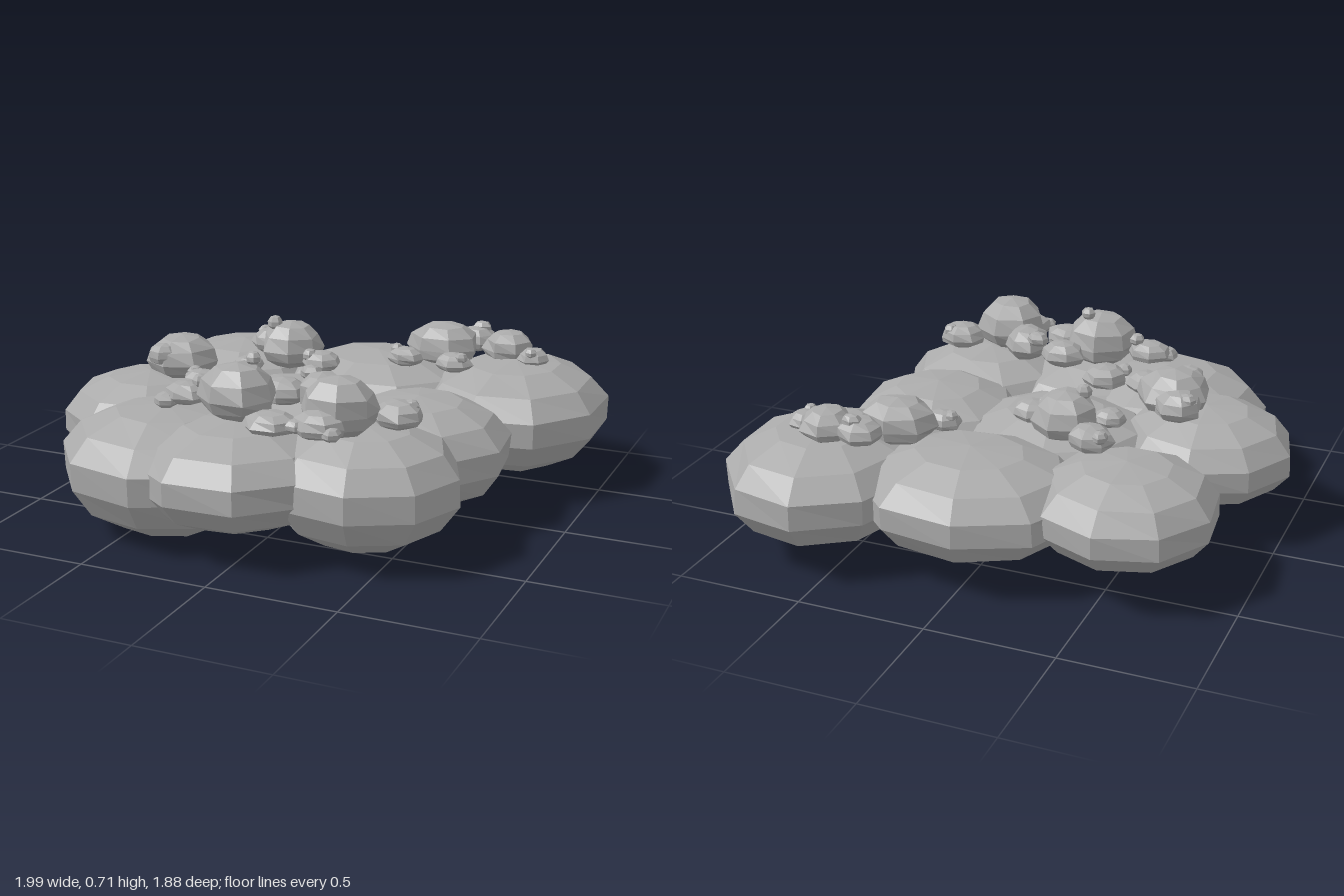
import * as THREE from 'three';

// repeatable value in -1..1 from a point and a seed
function hash(x, y, z, seed) {
  const q = (v) => Math.round(v * 100);
  const s = Math.sin(q(x) * 12.9898 + q(y) * 78.233 + q(z) * 37.719 + seed * 4.137) * 43758.5453;
  return 2 * (s - Math.floor(s)) - 1;
}

// faceted ellipsoid; up and down are its heights above and below the rim,
// spin is the angle of one rim corner in degrees
function lump(rx, up, down, rz, spin, sides, rows, seed, jitter) {
  const geo = new THREE.SphereGeometry(1, sides, rows);
  geo.rotateY(Math.PI - THREE.MathUtils.degToRad(spin));
  const p = geo.attributes.position;
  for (let i = 0; i < p.count; i++) {
    const x = p.getX(i), y = p.getY(i), z = p.getZ(i);
    const flat = Math.hypot(x, z);
    const k = flat > 1e-4 ? (Math.pow(flat, 0.9) / flat) * (1.045 + jitter * hash(x, y, z, seed)) : 1;
    const h = flat > 1e-4 ? 1 + 0.5 * jitter * hash(z, x, y, seed) : 1;
    p.setXYZ(i, x * k * rx, y * h * (y > 0 ? up : down), z * k * rz);
  }
  const faceted = geo.toNonIndexed();
  faceted.computeVertexNormals();
  return faceted;
}

export function createModel() {
  const group = new THREE.Group();
  const grey = new THREE.MeshStandardMaterial({ color: 0xaaaaaa });
  grey.name = 'cloud grey';

  function add(name, geo, x, y, z) {
    const mesh = new THREE.Mesh(geo, grey);
    mesh.name = name;
    mesh.position.set(x, y, z);
    group.add(mesh);
  }

  // broad billows: name, x, y, z, rx, up, down, rz, spin
  const billows = [
    ['backRightBillow', -0.54, 0.30, -0.41, 0.34, 0.19, 0.185, 0.335, -88],
    ['backMiddleBillow', 0.04, 0.29, -0.49, 0.43, 0.195, 0.21, 0.35, -100],
    ['backLeftBillow', 0.62, 0.30, -0.535, 0.37, 0.20, 0.24, 0.405, -20],
    ['centreBillow', -0.10, 0.28, 0.02, 0.40, 0.185, 0.20, 0.36, 20],
    ['leftBillow', 0.42, 0.28, 0.045, 0.35, 0.20, 0.22, 0.34, 13],
    ['rightBillow', -0.66, 0.30, 0.19, 0.34, 0.19, 0.18, 0.325, 146],
    ['frontRightBillow', -0.39, 0.27, 0.54, 0.40, 0.215, 0.27, 0.37, 84],
    ['frontMiddleBillow', -0.09, 0.29, 0.575, 0.385, 0.19, 0.21, 0.375, 106],
    ['frontLeftBillow', 0.37, 0.28, 0.47, 0.36, 0.21, 0.25, 0.33, 0],
  ];
  billows.forEach(([name, x, y, z, rx, up, down, rz, spin], i) => {
    add(name, lump(rx, up, down, rz, spin, 9, 7, i + 1, 0.015), x, y, z);
  });

  // puffs on top, by cluster: x, y, z, rx, rz, height above the rim
  const clusters = {
    backLeftPuff: [
      [0.33, 0.53, -0.49, 0.145, 0.12, 0.10], [0.42, 0.53, -0.63, 0.085, 0.08, 0.06],
      [0.57, 0.52, -0.60, 0.10, 0.10, 0.075], [0.69, 0.50, -0.55, 0.06, 0.065, 0.045],
      [0.21, 0.50, -0.36, 0.075, 0.055, 0.045], [0.42, 0.50, -0.35, 0.075, 0.06, 0.045],
      [0.44, 0.58, -0.65, 0.04, 0.03, 0.03], [0.69, 0.53, -0.51, 0.025, 0.025, 0.025],
      [0.17, 0.53, -0.37, 0.025, 0.025, 0.025], [0.46, 0.53, -0.33, 0.025, 0.025, 0.025],
    ],
    backRightPuff: [
      [-0.23, 0.53, -0.22, 0.12, 0.125, 0.11], [-0.37, 0.51, -0.33, 0.085, 0.08, 0.06],
      [-0.07, 0.50, -0.15, 0.075, 0.07, 0.05], [-0.35, 0.48, -0.06, 0.06, 0.06, 0.04],
      [-0.29, 0.63, -0.19, 0.03, 0.03, 0.035], [-0.42, 0.54, -0.37, 0.03, 0.03, 0.03],
      [-0.11, 0.53, -0.13, 0.03, 0.03, 0.03],
    ],
    rightPuff: [
      [-0.54, 0.54, 0.14, 0.135, 0.145, 0.10], [-0.59, 0.53, 0.03, 0.09, 0.09, 0.07],
      [-0.57, 0.57, 0.23, 0.06, 0.06, 0.05], [-0.38, 0.50, 0.28, 0.075, 0.07, 0.05],
      [-0.20, 0.49, 0.30, 0.085, 0.085, 0.055], [-0.63, 0.57, 0.01, 0.035, 0.03, 0.03],
      [-0.25, 0.49, 0.40, 0.03, 0.03, 0.03], [-0.43, 0.52, 0.24, 0.03, 0.03, 0.03],
    ],
    frontPuff: [
      [-0.10, 0.55, 0.53, 0.145, 0.14, 0.125], [-0.06, 0.68, 0.48, 0.028, 0.028, 0.03],
      [-0.31, 0.53, 0.53, 0.085, 0.08, 0.05], [-0.37, 0.51, 0.58, 0.045, 0.045, 0.035],
      [-0.26, 0.58, 0.52, 0.03, 0.03, 0.03], [0.01, 0.53, 0.37, 0.09, 0.08, 0.06],
      [0.17, 0.55, 0.38, 0.085, 0.10, 0.08], [0.10, 0.60, 0.32, 0.045, 0.035, 0.035],
      [0.31, 0.55, 0.55, 0.14, 0.125, 0.13], [0.49, 0.52, 0.44, 0.09, 0.085, 0.06],
      [0.53, 0.55, 0.41, 0.03, 0.03, 0.03], [0.09, 0.50, 0.65, 0.10, 0.085, 0.05],
      [0.28, 0.52, 0.66, 0.10, 0.085, 0.06], [0.35, 0.51, 0.71, 0.035, 0.035, 0.03],
      [0.21, 0.52, 0.70, 0.04, 0.035, 0.03],
    ],
  };
  let n = 20;
  for (const [name, puffs] of Object.entries(clusters)) {
    for (const [x, y, z, rx, rz, up] of puffs) {
      const small = rx < 0.05;
      const geo = lump(rx, up, up * 0.7, rz, n * 47, small ? 6 : 7, small ? 5 : 6, n, 0.08);
      add(name, geo, x, y, z);
      n++;
    }
  }
  return group;
}
